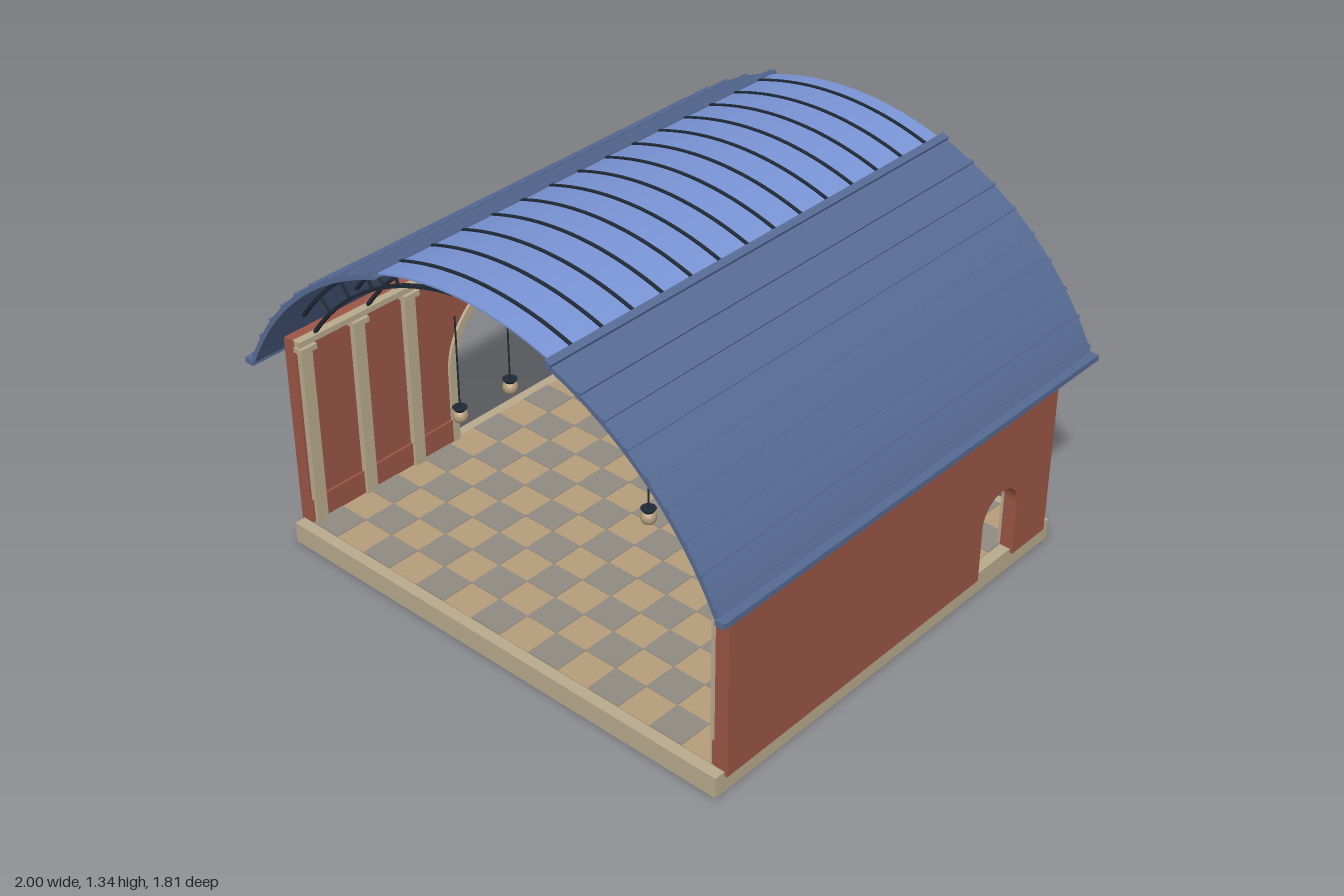
import * as THREE from 'three';

const mat = (name, color) => {
  const m = new THREE.MeshStandardMaterial({ color });
  m.name = name;
  return m;
};

export function createModel() {
  const brick = mat('brick', 0x9c5646), stone = mat('stone', 0xbaab8d);
  const tan = mat('tanTile', 0xb59e7a), grey = mat('greyTile', 0x918b82);
  const slate = mat('roofBlue', 0x566b94), glass = mat('skylightBlue', 0x7a95d6);
  const iron = mat('iron', 0x1f2a36), globe = mat('lampGlobe', 0xb09a78);

  const root = new THREE.Group();
  root.name = 'marketHall';
  const group = (name, parent = root) => {
    const g = new THREE.Group();
    g.name = name;
    parent.add(g);
    return g;
  };
  const add = (parent, name, geo, material, x = 0, y = 0, z = 0) => {
    const m = new THREE.Mesh(geo, material);
    m.name = name;
    m.position.set(x, y, z);
    parent.add(m);
    return m;
  };
  const box = (parent, name, material, w, h, d, x, y, z) =>
    add(parent, name, new THREE.BoxGeometry(w, h, d), material, x, y, z);

  // Base and chequered floor
  box(root, 'baseSlab', stone, 1.84, 0.075, 1.68, 0, 0.0375, 0);
  box(root, 'floor', tan, 1.76, 0.004, 1.6, 0, 0.076, 0);
  const tiles = group('greyTiles');
  const NX = 14, NZ = 13, tw = 1.76 / NX, td = 1.6 / NZ;
  const tileGeo = new THREE.BoxGeometry(tw, 0.004, td);
  for (let i = 0; i < NX; i++) for (let j = 0; j < NZ; j++) {
    if ((i + j) % 2) continue;
    add(tiles, 'greyTile', tileGeo, grey, -0.88 + (i + 0.5) * tw, 0.0785, -0.8 + (j + 0.5) * td);
  }

  // Walls: profile in z and y, extruded through x
  const extrudeX = (shape, depth) =>
    new THREE.ExtrudeGeometry(shape, { depth, bevelEnabled: false, curveSegments: 24 }).rotateY(-Math.PI / 2);
  const wallShape = ({ z, r, spring }) => {
    const s = new THREE.Shape();
    s.moveTo(-0.8, 0.06);
    s.lineTo(z - r, 0.06);
    s.lineTo(z - r, spring);
    s.absarc(z, spring, r, Math.PI, 0, true);
    s.lineTo(z + r, 0.06);
    s.lineTo(0.8, 0.06);
    s.lineTo(0.8, 0.78);
    s.lineTo(-0.8, 0.78);
    s.closePath();
    return s;
  };
  const trimShape = ({ z, r, spring }, w) => {
    const s = new THREE.Shape();
    s.moveTo(z - r - w, 0.075);
    s.lineTo(z - r, 0.075);
    s.lineTo(z - r, spring);
    s.absarc(z, spring, r, Math.PI, 0, true);
    s.lineTo(z + r, 0.075);
    s.lineTo(z + r + w, 0.075);
    s.lineTo(z + r + w, spring);
    s.absarc(z, spring, r + w, 0, Math.PI, false);
    s.closePath();
    return s;
  };
  const bays = Array.from({ length: 8 }, (_, i) => -0.77 + i * 0.22);
  const sides = [
    { name: 'leftWall', s: 1, door: { z: -0.525, r: 0.095, spring: 0.265 } },
    { name: 'rightWall', s: -1, door: { z: -0.13, r: 0.265, spring: 0.355 } },
  ];
  for (const { name, s, door } of sides) {
    const g = group(name);
    add(g, 'brickWall', extrudeX(wallShape(door), 0.05), brick, s > 0 ? 0.93 : -0.88);
    add(g, 'archTrim', extrudeX(trimShape(door, 0.03), 0.012), stone, s > 0 ? 0.881 : -0.869);
    // Skirting on both sides of the opening
    for (const [a, b] of [[-0.8, door.z - door.r - 0.03], [door.z + door.r + 0.03, 0.8]])
      box(g, 'skirting', brick, 0.01, 0.09, b - a, s * 0.876, 0.12, (a + b) / 2);
    box(g, 'cornice', stone, 0.03, 0.02, 1.6, s * 0.87, 0.773, 0);
    for (const z of bays) {
      if (Math.abs(z - door.z) < door.r + 0.01) continue;
      box(g, 'pilaster', stone, 0.024, 0.67, 0.045, s * 0.87, 0.41, z);
      box(g, 'capital', stone, 0.038, 0.02, 0.065, s * 0.864, 0.75, z);
    }
  }

  // Curved sector about the vault axis, angles in degrees
  const CY = 0.25, rad = THREE.MathUtils.degToRad;
  const sector = (r0, r1, a0, a1, depth) => {
    const s = new THREE.Shape();
    s.absarc(0, 0, r1, rad(a0), rad(a1), false);
    s.absarc(0, 0, r0, rad(a1), rad(a0), true);
    s.closePath();
    return new THREE.ExtrudeGeometry(s, { depth, bevelEnabled: false, curveSegments: 40 })
      .translate(0, CY, -depth / 2);
  };
  // Box lying along z, set on the vault at an angle
  const onVault = (parent, name, material, r, deg, radial, along, depth, z = 0) => {
    const a = rad(deg);
    const m = box(parent, name, material, radial, along, depth, r * Math.cos(a), CY + r * Math.sin(a), z);
    m.rotation.z = a;
    return m;
  };

  // Roof slopes with raised seams, eaves and ridge caps
  const roof = group('roof');
  for (const s of [1, -1]) {
    const at = (d) => (s > 0 ? d : 180 - d);
    const [a0, a1] = s > 0 ? [26, 71] : [109, 154];
    add(roof, 'roofSlope', sector(1.066, 1.082, a0, a1, 1.8), slate);
    for (let k = 0; k < 8; k++)
      onVault(roof, 'roofSeam', slate, 1.083, at(27.2 + k * 5.3), 0.012, 0.012, 1.8);
    box(roof, 'eave', slate, 0.035, 0.02, 1.81, s * 0.9825, 0.712, 0);
    onVault(roof, 'ridgeCap', slate, 1.081, at(70.8), 0.022, 0.026, 1.81);
  }

  // Skylight with glazing bars
  const skylight = group('skylight');
  add(skylight, 'glazing', sector(1.077, 1.083, 71, 109, 1.77), glass);
  const barGeo = sector(1.07, 1.088, 71, 109, 0.011);
  for (let i = 0; i < 14; i++) add(skylight, 'glazingBar', barGeo, iron, 0, 0, -0.817 + i * 0.124);

  // Arched trusses
  const upper = sector(1.053, 1.063, 36, 144, 0.014);
  const lower = sector(0.99, 1.0, 36, 144, 0.014);
  for (const z of bays) {
    const truss = group('truss');
    add(truss, 'upperChord', upper, iron, 0, 0, z);
    add(truss, 'lowerChord', lower, iron, 0, 0, z);
    for (let k = 1; k < 14; k++)
      onVault(truss, 'strut', iron, 1.027, 36 + (k * 108) / 14, 0.06, 0.007, 0.008, z);
  }

  // Hanging lamps
  const cordGeo = new THREE.CylinderGeometry(0.003, 0.003, 0.34, 6);
  const capGeo = new THREE.CylinderGeometry(0.025, 0.015, 0.014, 16);
  const globeGeo = new THREE.SphereGeometry(0.026, 16, 12);
  for (const x of [-0.4, 0.4]) for (const z of bays.slice(1, 7)) {
    const lamp = group('lamp');
    lamp.position.set(x, 0, z);
    add(lamp, 'cord', cordGeo, iron, 0, 0.785, 0);
    add(lamp, 'lampCap', capGeo, iron, 0, 0.616, 0);
    add(lamp, 'globe', globeGeo, globe, 0, 0.592, 0);
  }
  return root;
}
